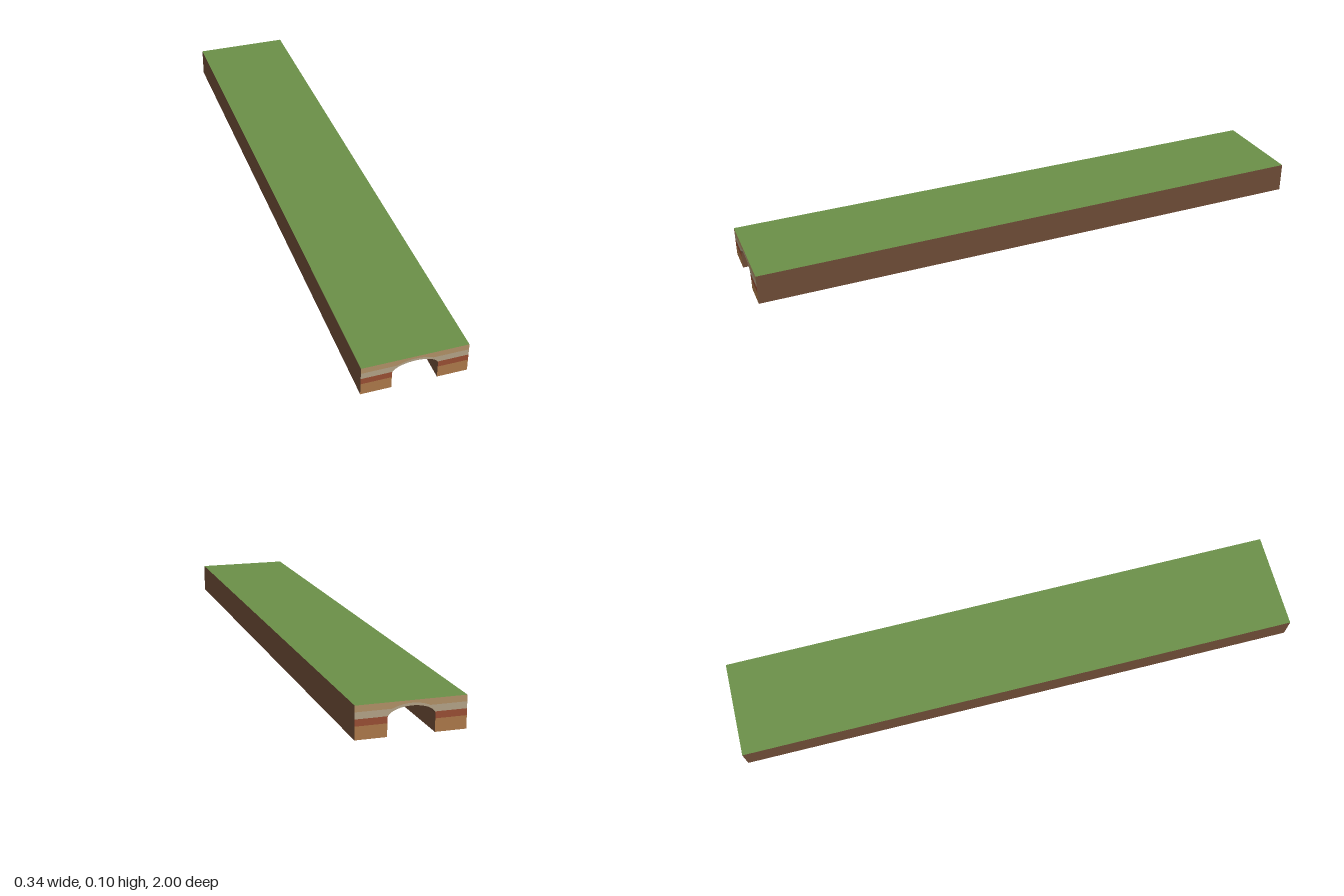
import * as THREE from 'three';

const W = 0.171, H = 0.103, L = 1;            // half width, height, half length
const R = 0.073, SPRING = 0.055, RISE = 0.032; // tunnel half width, arch start, arch rise
const STEPS = 32;

const mat = (color) => new THREE.MeshStandardMaterial({ color, side: THREE.DoubleSide, roughness: 0.9 });

// Arch opening sampled from left foot to right foot
const archPoints = () => Array.from({ length: STEPS + 1 }, (_, i) => {
  const a = Math.PI * (1 - i / STEPS);
  return [R * Math.cos(a), SPRING + RISE * Math.sin(a)];
});

// Open strip following [x, y] points along the full length in z
function sweep(points) {
  const pos = [], idx = [];
  points.forEach(([x, y], i) => {
    pos.push(x, y, L, x, y, -L);
    if (i) {
      const a = 2 * i - 2;
      idx.push(a, a + 3, a + 1, a, a + 2, a + 3);
    }
  });
  return fromArrays(pos, idx);
}

function fromArrays(pos, idx) {
  const g = new THREE.BufferGeometry();
  g.setAttribute('position', new THREE.Float32BufferAttribute(pos, 3));
  g.setIndex(idx);
  g.computeVertexNormals();
  return g;
}

// One earth layer of an end face: the band between two heights, cut by the arch
function layerGeometry(low, high) {
  const columns = [[-W, 0], [-R, 0], ...archPoints(), [R, 0], [W, 0]];
  const pos = [], idx = [];
  columns.forEach(([x, floor], i) => {
    pos.push(x, Math.max(low(x), floor), 0, x, Math.max(high(x), floor), 0);
    const a = 2 * i - 2;
    if (!i || columns[i - 1][0] === x) return;
    const thick = (k) => pos[3 * (k + 1) + 1] - pos[3 * k + 1] > 1e-6;
    if (thick(a) || thick(a + 2)) idx.push(a, a + 2, a + 3, a, a + 3, a + 1);
  });
  return fromArrays(pos, idx);
}

export function createModel() {
  const root = new THREE.Group();
  root.name = 'tunnelBlock';
  const add = (name, geometry, material, parent = root) => {
    const m = new THREE.Mesh(geometry, material);
    m.name = name;
    parent.add(m);
    return m;
  };

  const grass = mat(0x6a8f47), soil = mat(0x6b4a35);

  // Grass sheet on top
  add('grassTop', sweep([[-W, H], [W, H]]), grass);

  // Outer side walls, open underneath
  add('rightWall', sweep([[-W, 0], [-W, H]]), soil);
  add('leftWall', sweep([[W, H], [W, 0]]), soil);

  // Tunnel lining: two straight walls and an arched vault, facing inward
  add('tunnelRightWall', sweep([[-R, SPRING], [-R, 0]]), soil);
  add('tunnelLeftWall', sweep([[R, 0], [R, SPRING]]), soil);
  add('tunnelVault', sweep(archPoints().reverse()), soil);

  // Layered earth on both end faces; the pale layer bends over the arch
  const flat = (y) => () => y;
  const bend = (x) => Math.max(0.083, SPRING + 0.04 * Math.sqrt(Math.max(0, 1 - (x / 0.08) ** 2)));
  const layers = [
    ['clayLayer', flat(0), flat(0.041), 0xa87648],
    ['redLayer', flat(0.041), flat(0.062), 0x964c32],
    ['paleLayer', flat(0.062), bend, 0xaf9f84],
    ['sandLayer', bend, flat(H), 0xad8d64],
  ].map(([name, low, high, color]) => [name, layerGeometry(low, high), mat(color)]);

  for (const [name, z, turn] of [['frontFace', L, 0], ['backFace', -L, Math.PI]]) {
    const face = new THREE.Group();
    face.name = name;
    face.position.z = z;
    face.rotation.y = turn;
    layers.forEach(([n, g, m]) => add(n, g, m, face));
    root.add(face);
  }
  return root;
}
